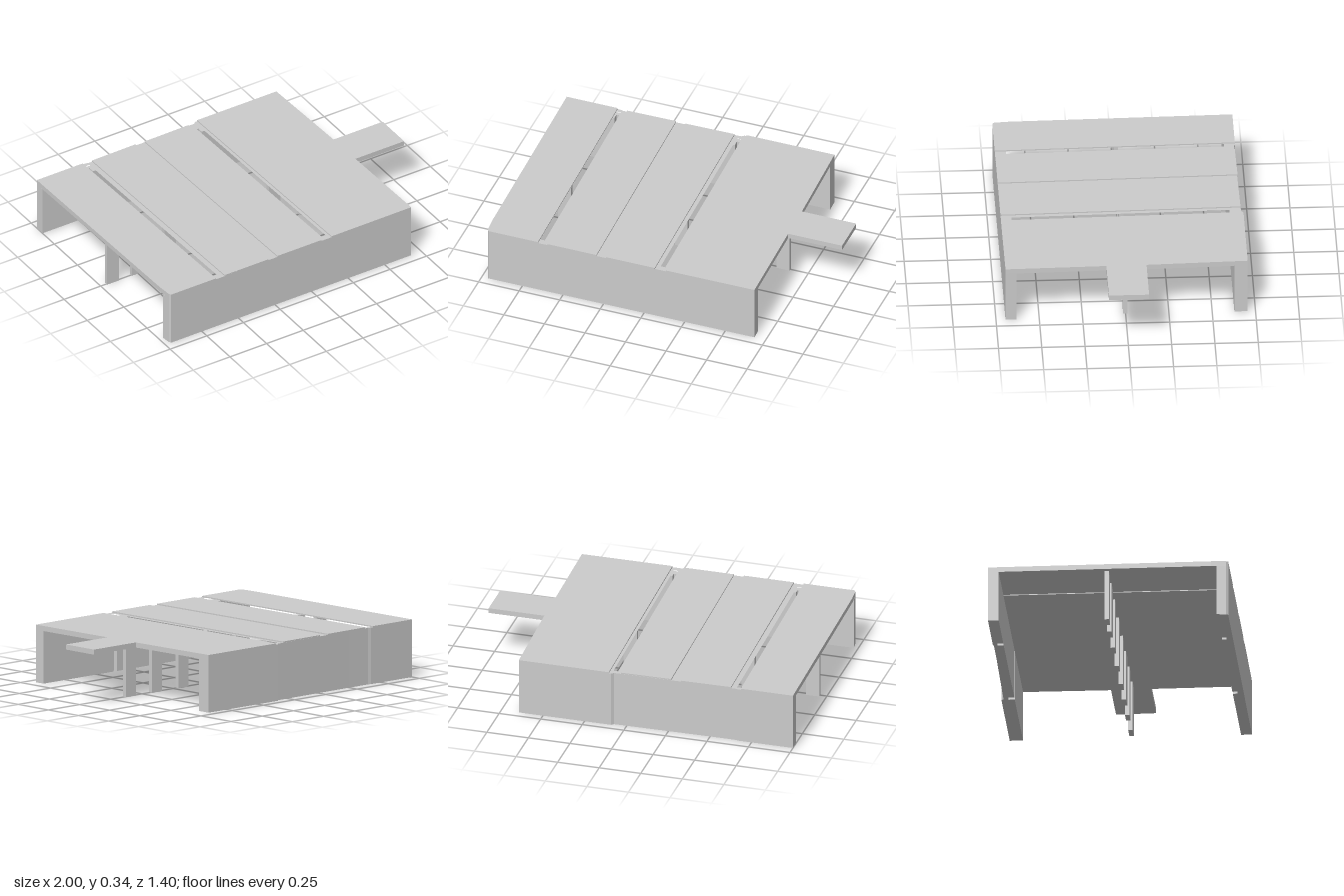
import * as THREE from 'three';

const DECK_BOTTOM = 0.308, GROOVE = 0.331, TOP = 0.338;

export function createModel() {
  const model = new THREE.Group();
  const material = new THREE.MeshStandardMaterial({ color: 0xcccccc, flatShading: true });

  // Extrudes a plan outline given as [x, z] points from y0 up to y1
  const toVectors = (pts) => pts.map(([x, z]) => new THREE.Vector2(x, -z));
  function addPlan(name, pts, y0, y1, holes = []) {
    const shape = new THREE.Shape(toVectors(pts));
    for (const hole of holes) shape.holes.push(new THREE.Path(toVectors(hole)));
    const geometry = new THREE.ExtrudeGeometry(shape, { depth: y1 - y0, bevelEnabled: false });
    geometry.rotateX(-Math.PI / 2);
    const mesh = new THREE.Mesh(geometry, material);
    mesh.name = name;
    mesh.position.y = y0;
    model.add(mesh);
  }

  // Joints lean slightly across the deck: x is given at z = 0
  const lean = (x, z) => [x + 0.023 * z, z];
  const joints = [-0.655, 0.088];
  const half = 0.014;
  const slots = joints.map((x) => [
    lean(x - half, -0.665), lean(x + half, -0.665), lean(x + half, 0.66), lean(x - half, 0.66),
  ]);

  // Deck with a projecting tab and two through slots
  addPlan('deck', [
    [-1, -0.69], [-0.67, -0.69], [-0.65, -0.685], [-0.5, -0.685], [0.075, -0.692], [0.09, -0.705],
    [0.645, -0.705], [0.665, -0.12], [1, -0.12], [1, 0.112], [0.668, 0.112],
    [0.68, 0.695], [-0.96, 0.698], [-0.968, 0.685], [-0.975, 0.6],
  ], DECK_BOTTOM, GROOVE, slots);

  // Surface panels, separated by shallow grooves along the joints
  const grooves = [[-0.67, -0.61], [-0.31, -0.25], [0.05, 0.12]];
  addPlan('surfacePanel', [
    [-1, -0.69], lean(grooves[0][0], -0.69), lean(grooves[0][0], 0.698),
    [-0.96, 0.698], [-0.968, 0.685], [-0.975, 0.6],
  ], GROOVE, TOP);
  for (let i = 0; i < 2; i++) {
    const a = grooves[i][1], b = grooves[i + 1][0];
    addPlan('surfacePanel', [lean(a, -0.686), lean(b, -0.69), lean(b, 0.697), lean(a, 0.697)], GROOVE, TOP);
  }
  addPlan('surfacePanel', [
    lean(grooves[2][1], -0.705), [0.645, -0.705], [0.665, -0.12], [1, -0.12], [1, 0.112],
    [0.668, 0.112], [0.68, 0.695], lean(grooves[2][1], 0.697),
  ], GROOVE, TOP);

  // Front wall, its inner face notched where the slots run down
  const notch = (x, inner, outer) => [
    lean(x - half, inner), lean(x - half, outer), lean(x + half, outer), lean(x + half, inner),
  ];
  addPlan('frontWall', [
    [-0.974, 0.632], ...notch(joints[0], 0.632, 0.66), ...notch(joints[1], 0.632, 0.66),
    [0.678, 0.632], [0.68, 0.695], [-0.96, 0.698], [-0.968, 0.685],
  ], 0, DECK_BOTTOM);

  // Back wall, stepped outward past the second joint
  addPlan('backWall', [
    [-0.999, -0.628], ...notch(joints[0], -0.628, -0.665), ...notch(joints[1], -0.628, -0.665),
    [0.648, -0.628], [0.645, -0.705], [0.09, -0.705], [0.075, -0.692],
    [-0.5, -0.685], [-0.65, -0.685], [-0.67, -0.69], [-1, -0.69],
  ], 0, DECK_BOTTOM);

  // Row of thin piers under the middle of the deck
  [0.6, 0.39, 0.18, -0.03, -0.28, -0.53, -0.75, -0.92].forEach((x, i) => {
    const pier = new THREE.Mesh(new THREE.BoxGeometry(0.08, DECK_BOTTOM, 0.026), material);
    pier.name = 'pier';
    pier.position.set(x, DECK_BOTTOM / 2, 0.001 - 0.001 * i);
    model.add(pier);
  });

  return model;
}
